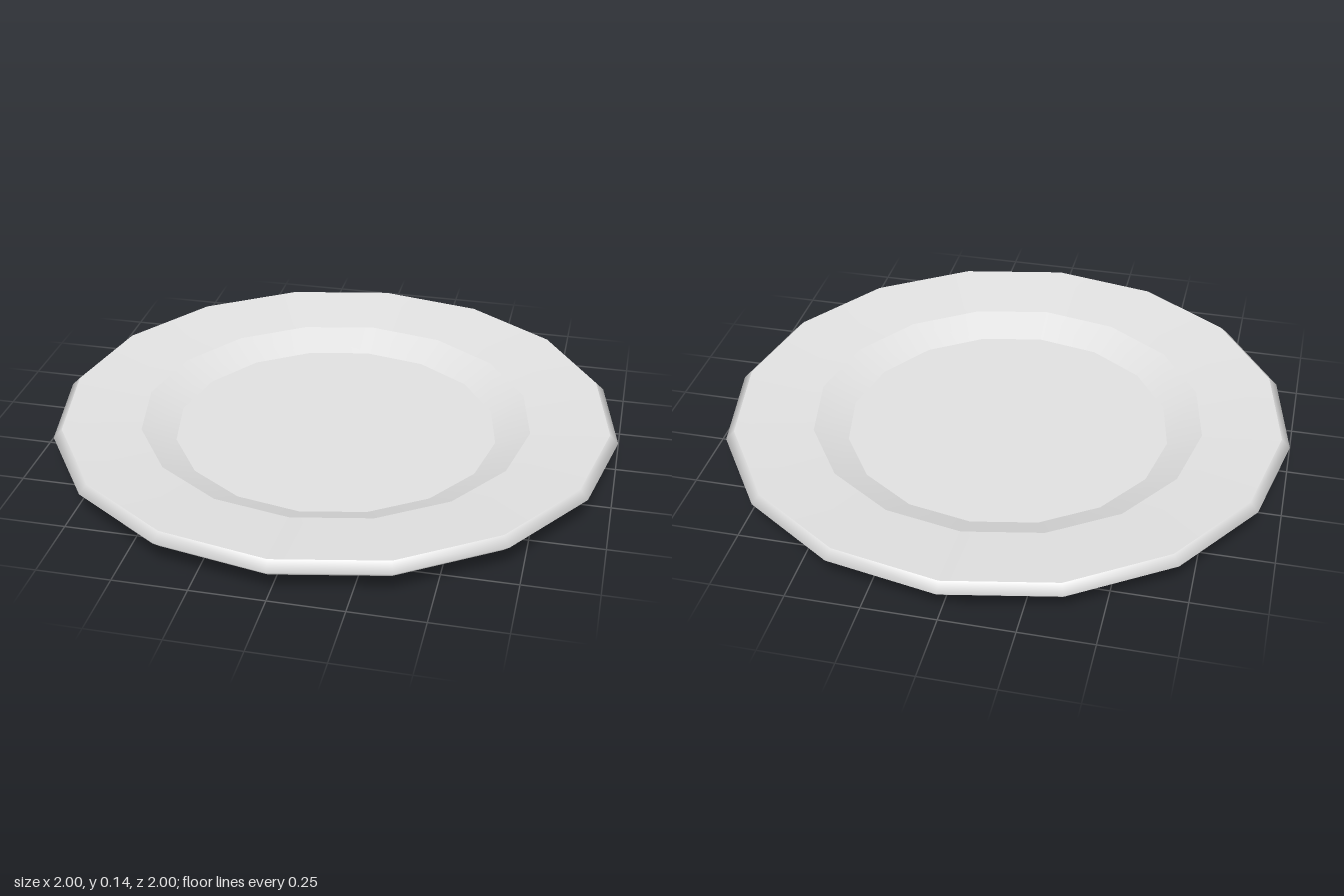
import * as THREE from 'three';

const SIDES = 16;

export function createModel() {
  const plate = new THREE.Group();
  plate.name = 'plate';
  const ceramic = new THREE.MeshStandardMaterial({ color: 0xe0e0e0 });
  ceramic.name = 'lightGreyCeramic';

  // Each band is turned separately, so edges between bands stay sharp.
  const addBand = (name, profile) => {
    const points = profile.map(([r, y]) => new THREE.Vector2(r, y));
    const mesh = new THREE.Mesh(new THREE.LatheGeometry(points, SIDES), ceramic);
    mesh.name = name;
    plate.add(mesh);
  };

  // Foot: flat base and upright wall
  addBand('footBase', [[0, 0], [0.535, 0]]);
  addBand('footWall', [[0.535, 0], [0.535, 0.042]]);

  // Underside and rounded rim
  addBand('underside', [[0.535, 0.042], [0.97, 0.078]]);
  addBand('rim', [[0.97, 0.078], [1, 0.105], [0.97, 0.135]]);

  // Upper face: border, sloping wall and well floor
  addBand('border', [[0.97, 0.135], [0.695, 0.108]]);
  addBand('wellWall', [[0.695, 0.108], [0.575, 0.054]]);
  addBand('wellFloor', [[0.575, 0.054], [0, 0.054]]);

  return plate;
}
